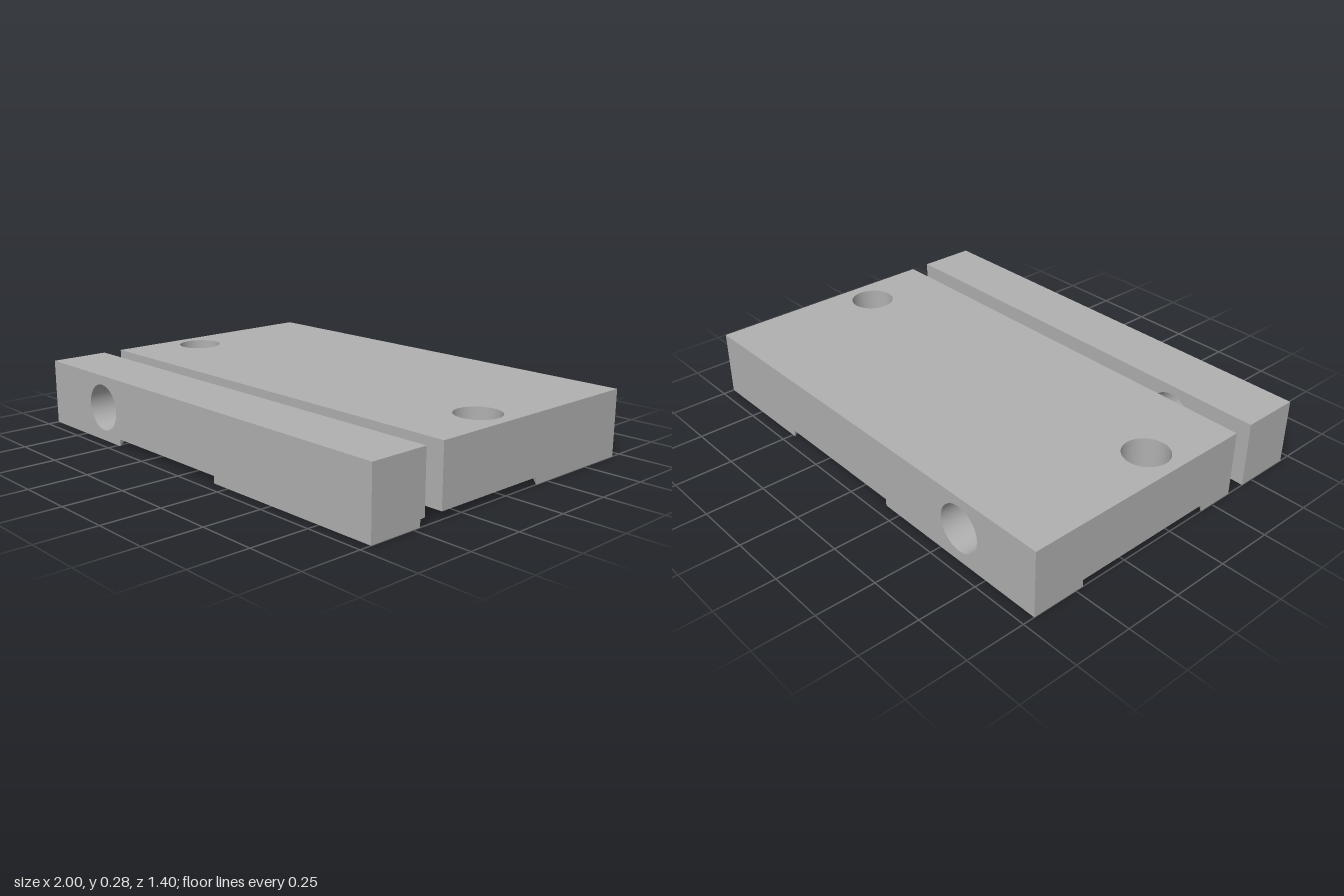
import * as THREE from 'three';
import { toCreasedNormals } from 'three/addons/utils/BufferGeometryUtils.js';

const H = 0.285, FLOOR = 0.03;               // block height, depth of underside channels
const BORE = { x: -0.605, y: 0.145, r: 0.1 }; // cross bore along z
const SLOT = [0.355, 0.443];                 // slot walls along z

const circle = (x, y, r) => new THREE.Path().absarc(x, y, r, 0, Math.PI * 2, true);
const polygon = (pts) => new THREE.Shape(pts.map(([x, y]) => new THREE.Vector2(x, y)));
const rect = (x0, x1, y0, y1) => polygon([[x0, y0], [x1, y0], [x1, y1], [x0, y1]]);

export function createModel() {
  const group = new THREE.Group();
  const steel = new THREE.MeshStandardMaterial({ color: 0xb0b0b0 });
  steel.name = 'grey metal';

  const extrude = (shape, depth) =>
    new THREE.ExtrudeGeometry(shape, { depth, bevelEnabled: false, curveSegments: 24 });
  const add = (name, geometry) => {
    const mesh = new THREE.Mesh(toCreasedNormals(geometry, 0.5), steel);
    mesh.name = name;
    group.add(mesh);
  };
  // Outline in x and -z, raised from y0 to y1
  const plan = (name, shape, y0, y1) =>
    add(name, extrude(shape, y1 - y0).rotateX(-Math.PI / 2).translate(0, y0, 0));
  // Outline in x and y, run from z0 to z1
  const front = (name, shape, z0, z1) =>
    add(name, extrude(shape, z1 - z0).translate(0, 0, z0));
  const ground = (pts) => polygon(pts.map(([x, z]) => [x, -z]));

  // Main plate: two ends with vertical holes, centre piece with the cross bore
  const ends = [['plateRightEnd', -1, -0.735, -0.857], ['plateLeftEnd', -0.475, 1, 0.857]];
  for (const [name, x0, x1, holeX] of ends) {
    const s = rect(x0, x1, -SLOT[0], 0.7);
    s.holes.push(circle(holeX, 0, 0.095));
    plan(name, s, FLOOR, H);
  }
  const centre = rect(-0.735, -0.475, FLOOR, H);
  centre.holes.push(circle(BORE.x, BORE.y, BORE.r));
  front('plateBoreSection', centre, -0.7, SLOT[0]);

  // Front bar with the cross bore
  const bar = rect(-1, 1, FLOOR, H);
  bar.holes.push(circle(BORE.x, BORE.y, BORE.r));
  front('frontBar', bar, SLOT[1], 0.7);

  // Web at the bottom of the slot, cut open by the bore
  const webTop = 0.16, webX = 0.918;
  const a = Math.asin((webTop - BORE.y) / BORE.r);
  const web = new THREE.Shape();
  web.moveTo(-webX, FLOOR);
  web.lineTo(webX, FLOOR);
  web.lineTo(webX, webTop);
  web.absarc(BORE.x, BORE.y, BORE.r, a, Math.PI - a, true);
  web.lineTo(-webX, webTop);
  front('slotWeb', web, SLOT[0], SLOT[1]);

  // Underside lands left standing between the two diagonal channels
  const near = 0.535, far = 1.183; // channel edges, as x - z
  const [s0, s1] = SLOT;
  plan('backCornerLand', ground([[1, -0.7], [far - 0.7, -0.7], [1, 1 - far]]), 0, FLOOR);
  plan('middleLand', ground([
    [-1, -0.7], [near - 0.7, -0.7], [webX, webX - near], [webX, s1], [s1 + near, s1],
    [1, 1 - near], [1, 0.7], [0.7 - near, 0.7], [-1, near - 1],
  ]), 0, FLOOR);
  plan('frontCornerLand', ground([
    [-1, far - 1], [-1, s0], [-webX, s0], [-webX, s1], [-1, s1], [-1, 0.7], [0.7 - far, 0.7],
  ]), 0, FLOOR);

  return group;
}
